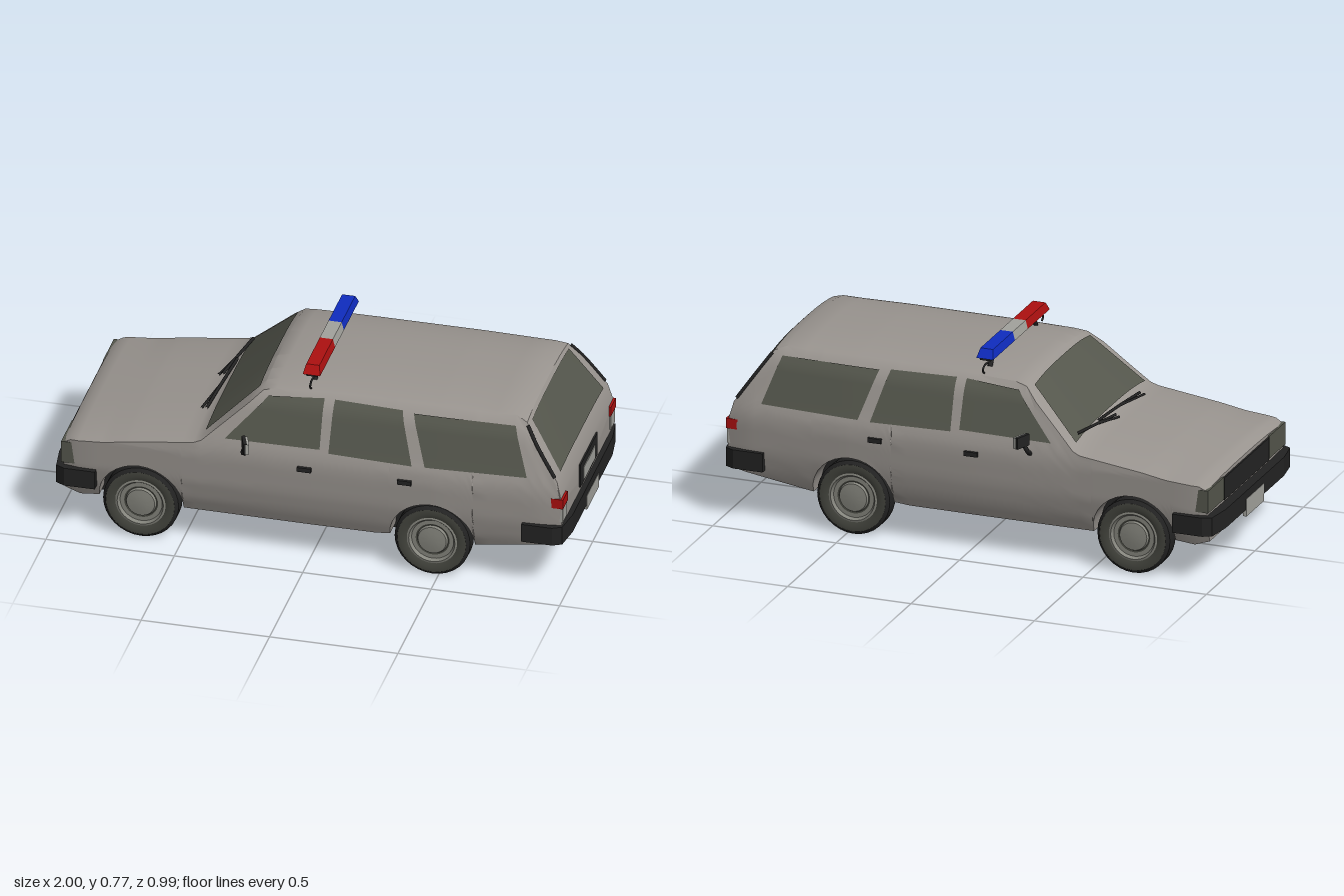
import * as THREE from 'three';
import { toCreasedNormals } from 'three/addons/utils/BufferGeometryUtils.js';

const paint = (name, color, side = THREE.FrontSide) => {
  const m = new THREE.MeshStandardMaterial({ color, side });
  m.name = name;
  return m;
};

// Piecewise linear lookup through [position, value] pairs
function lerpTable(table, t) {
  if (t <= table[0][0]) return table[0][1];
  for (let i = 1; i < table.length; i++) {
    const [a, va] = table[i - 1], [b, vb] = table[i];
    if (t <= b) return va + (vb - va) * (t - a) / (b - a);
  }
  return table[table.length - 1][1];
}

const AXLES = [-0.66, 0.475], ARCH = 0.165;
const WIDTH = [[0.13, 0.375], [0.2, 0.40], [0.28, 0.415], [0.4, 0.418], [0.45, 0.411],
  [0.48, 0.398], [0.62, 0.35], [0.655, 0.328], [0.68, 0.3], [0.7, 0.27]];
const TAPER = [[-0.96, 0.94], [-0.9, 0.965], [-0.5, 0.985], [0, 1], [0.5, 1], [0.9, 0.97], [0.98, 0.94]];
const TOP = [[-0.96, 0.385], [-0.93, 0.405], [-0.7, 0.445], [-0.45, 0.478], [-0.42, 0.49], [-0.2, 0.693],
  [-0.15, 0.703], [0.1, 0.71], [0.5, 0.711], [0.78, 0.706], [0.825, 0.687], [0.96, 0.478], [0.975, 0.42], [0.98, 0.4]];
const CROWN = [[-0.96, 0.015], [-0.8, 0.03], [0.7, 0.028], [0.85, 0.02], [0.98, 0.01]];
const BOTTOM = [[-0.96, 0.16], [-0.9, 0.14], [0.64, 0.145], [0.98, 0.2]];

const halfWidth = (x, y) => lerpTable(WIDTH, y) * lerpTable(TAPER, x);
const shoulder = x => lerpTable(TOP, x) - lerpTable(CROWN, x);
const topY = (x, z) => {
  const f = Math.min(1, Math.abs(z) / halfWidth(x, shoulder(x)));
  return shoulder(x) + lerpTable(CROWN, x) * (1 - f ** 3);
};
function bottomY(x) {
  let y = lerpTable(BOTTOM, x);
  for (const c of AXLES) {
    const d = ARCH * ARCH - (x - c) ** 2;
    if (d > 0) y = Math.max(y, 0.15 + Math.sqrt(d));
  }
  return y;
}

// Body shell lofted along x, with wheel arches in its lower edge
function bodyGeometry() {
  const xs = new Set(TOP.map(p => p[0]));
  for (const c of AXLES) for (let k = 0; k <= 16; k++) xs.add(+(c + ARCH * Math.cos(k * Math.PI / 16)).toFixed(4));
  for (const x of [-0.9, -0.36, -0.3, -0.25, 0, 0.25, 0.7, 0.87, 0.91]) xs.add(x);
  const stations = [...xs].sort((a, b) => a - b);
  const pos = [], idx = [], ROWS = 18;
  let n = 0;
  for (const x of stations) {
    const b = bottomY(x), s = shoulder(x), half = [[0, b], [0.3, b]];
    for (let r = 0; r <= ROWS; r++) {
      const y = b + (s - b) * r / ROWS;
      half.push([halfWidth(x, y), y]);
    }
    for (const f of [0.93, 0.82, 0.6, 0.3, 0]) {
      const z = f * halfWidth(x, s);
      half.push([z, topY(x, z)]);
    }
    const ring = [...half, ...half.slice(1, -1).reverse().map(([z, y]) => [-z, y])];
    n = ring.length;
    for (const [z, y] of ring) pos.push(x, y, z);
  }
  const last = stations.length - 1;
  for (let i = 0; i < last; i++) for (let j = 0; j < n; j++) {
    const a = i * n + j, b = i * n + (j + 1) % n, c = a + n, d = b + n;
    idx.push(a, c, b, b, c, d);
  }
  // End caps
  const mid = pos.length / 3;
  pos.push(stations[0], 0.28, 0, stations[last], 0.3, 0);
  for (let j = 0; j < n; j++) {
    const k = (j + 1) % n;
    idx.push(mid, j, k, mid + 1, last * n + k, last * n + j);
  }
  const g = new THREE.BufferGeometry();
  g.setAttribute('position', new THREE.Float32BufferAttribute(pos, 3));
  g.setIndex(idx);
  return toCreasedNormals(g, 0.55);
}

// Thin pane spanning four corners, laid on a surface by a rule
function pane(corners, place) {
  const g = new THREE.PlaneGeometry(1, 1, 10, 10), p = g.attributes.position;
  const [A, B, C, D] = corners;
  for (let i = 0; i < p.count; i++) {
    const u = p.getX(i) + 0.5, v = p.getY(i) + 0.5;
    const q = [0, 1].map(k => (A[k] * (1 - u) + B[k] * u) * (1 - v) + (D[k] * (1 - u) + C[k] * u) * v);
    p.setXYZ(i, ...place(q[0], q[1]));
  }
  g.computeVertexNormals();
  return g;
}

export function createModel() {
  const car = new THREE.Group();
  car.name = 'patrolWagon';
  const body = paint('bodyGrey', 0x9a9590), glass = paint('glass', 0x55574d, THREE.DoubleSide);
  const black = paint('blackTrim', 0x232323), rubber = paint('tyreSidewall', 0x45463f);
  const metal = paint('wheelMetal', 0x85857d), pale = paint('paleGrey', 0xa3a39d);
  const red = paint('red', 0xae1010), blue = paint('blue', 0x0f2cc0);

  const add = (name, geo, mat, parent = car) => {
    const m = new THREE.Mesh(geo, mat);
    m.name = name;
    parent.add(m);
    return m;
  };
  const box = (name, mat, x0, x1, y0, y1, z0, z1) => {
    const m = add(name, new THREE.BoxGeometry(x1 - x0, y1 - y0, z1 - z0), mat);
    m.position.set((x0 + x1) / 2, (y0 + y1) / 2, (z0 + z1) / 2);
    return m;
  };
  const tube = (name, pts, r, mat = black) => {
    const path = new THREE.CatmullRomCurve3(pts.map(p => new THREE.Vector3(...p)));
    return add(name, new THREE.TubeGeometry(path, 12, r, 6), mat);
  };

  add('body', bodyGeometry(), body);
  box('underbody', black, -0.86, 0.66, 0.13, 0.34, -0.3, 0.3);

  // Windows
  const onTop = (x, z) => [x, topY(x, z) + 0.006, z];
  add('windscreen', pane([[-0.415, 0.355], [-0.415, -0.355], [-0.22, -0.285], [-0.22, 0.285]], onTop), glass);
  add('rearWindow', pane([[0.958, -0.325], [0.958, 0.325], [0.836, 0.275], [0.836, -0.275]], onTop), glass);
  const sideWindows = {
    frontDoorWindow: [[-0.33, 0.48], [0.04, 0.485], [0.04, 0.665], [-0.175, 0.652]],
    rearDoorWindow: [[0.075, 0.475], [0.4, 0.468], [0.345, 0.66], [0.08, 0.665]],
    cargoWindow: [[0.45, 0.47], [0.845, 0.475], [0.785, 0.655], [0.39, 0.655]],
  };

  for (const s of [1, -1]) {
    for (const [name, c] of Object.entries(sideWindows))
      add(name, pane(c, (x, y) => [x, y, s * (halfWidth(x, y) + 0.005)]), glass);
    for (const x of [-0.015, 0.375]) {
      const h = box('doorHandle', black, x - 0.027, x + 0.027, 0.393, 0.411, -0.008, 0.008);
      h.position.z = s * 0.42;
    }
    // Trim along the tailgate pillar
    tube('pillarTrim', [0.83, 0.87, 0.91, 0.95].map(x => [x, shoulder(x), s * halfWidth(x, shoulder(x))]), 0.007);

    // Door mirror
    tube('mirrorArm', [[-0.25, 0.43, s * 0.405], [-0.25, 0.45, s * 0.435], [-0.24, 0.48, s * 0.448]], 0.009);
    for (const [name, mat, dx, size] of [['mirrorHousing', black, 0, 1], ['mirrorGlass', pale, 0.009, 0.94]]) {
      const m = add(name, new THREE.BoxGeometry(0.014, 0.045 * size, 0.068 * size), mat);
      m.position.set(-0.238 + dx, 0.497, s * 0.46);
      m.rotation.y = s * 0.35;
    }

    // Lamps
    const lamp = (name, mat, x0, x1, y0, y1, za, zb) =>
      box(name, mat, x0, x1, y0, y1, Math.min(s * za, s * zb), Math.max(s * za, s * zb));
    lamp('headlight', glass, -0.967, -0.9, 0.285, 0.375, 0.235, 0.398);
    lamp('tailLight', red, 0.94, 0.987, 0.36, 0.4, 0.325, 0.398);
    lamp('reverseLight', pale, 0.955, 0.985, 0.3, 0.36, 0.33, 0.392);

    // Light bar feet and roof clips
    tube('lightBarFoot', [[-0.02, 0.737, s * 0.207], [-0.02, 0.69, s * 0.237]], 0.01);
    tube('roofClip', [[-0.02, 0.714, s * 0.255], [-0.02, 0.714, s * 0.295], [-0.02, 0.7, s * 0.311],
      [-0.02, 0.685, s * 0.295]], 0.004);
  }

  // Grille, tailgate recess and plates
  box('grille', black, -0.967, -0.94, 0.28, 0.37, -0.23, 0.23);
  box('tailgateRecess', black, 0.97, 0.986, 0.305, 0.402, -0.128, 0.128);
  box('rearPanel', pale, 0.98, 0.989, 0.315, 0.37, -0.085, 0.085);
  box('rearPlate', pale, 0.985, 1.0, 0.19, 0.25, -0.09, 0.09).position.x = 0.994;
  box('frontPlate', pale, -1.0, -0.985, 0.17, 0.24, -0.09, 0.09).position.x = -0.994;

  // Wrap-around bumpers
  const half = [[0.83, 0.42], [0.95, 0.42], [0.985, 0.402], [1, 0.3]];
  const inner = [[0.962, 0.3], [0.94, 0.38], [0.83, 0.38]];
  const mirror = a => a.map(([x, z]) => [x, -z]).reverse();
  const plan = [...half, ...mirror(half), ...mirror(inner), ...inner].map(p => new THREE.Vector2(...p));
  for (const [name, turn, top] of [['rearBumper', 0, 0.285], ['frontBumper', Math.PI, 0.272]]) {
    const g = new THREE.ExtrudeGeometry(new THREE.Shape(plan), { depth: 0.075, bevelEnabled: false });
    g.rotateX(Math.PI / 2).rotateY(turn).translate(0, top, 0);
    add(name, g, black);
  }

  // Wipers
  for (const [a, b] of [[[-0.405, -0.32], [-0.455, -0.05]], [[-0.425, -0.16], [-0.45, 0.21]]]) {
    const pts = [0, 0.5, 1].map(t => {
      const x = a[0] + (b[0] - a[0]) * t, z = a[1] + (b[1] - a[1]) * t;
      return [x, topY(x, z) + 0.014, z];
    });
    tube('wiperBlade', pts, 0.006);
    tube('wiperArm', [pts[1], [-0.47, 0.485, pts[2][2]]], 0.005);
  }

  // Roof light bar with sloped ends
  const bar = (name, mat, z0, z1, slope) => {
    const g = new THREE.BoxGeometry(0.068, 0.034, z1 - z0), p = g.attributes.position;
    for (let i = 0; i < p.count; i++) if (p.getY(i) > 0) {
      p.setX(i, p.getX(i) * 0.75);
      if (p.getZ(i) * slope > 0) p.setZ(i, p.getZ(i) - slope * 0.022);
    }
    g.computeVertexNormals();
    add(name, g, mat).position.set(-0.02, 0.757, (z0 + z1) / 2);
  };
  bar('redBeacon', red, 0.066, 0.292, 1);
  bar('clearBeacon', pale, -0.066, 0.066, 0);
  bar('blueBeacon', blue, -0.292, -0.066, -1);
  box('lightBarBase', black, -0.042, 0.002, 0.731, 0.741, -0.285, 0.285);

  // Wheels
  const lathe = pts => toCreasedNormals(
    new THREE.LatheGeometry(pts.map(p => new THREE.Vector2(...p)), 32), 0.5);
  const tread = lathe([[0.134, -0.04], [0.147, -0.029], [0.147, 0.029], [0.134, 0.04]]);
  const wall = lathe([[0.134, 0.04], [0.115, 0.042], [0.098, 0.036]]);
  const rim = lathe([[0.098, 0.036], [0.09, 0.038], [0.082, 0.026], [0.066, 0.026]]);
  const groove = lathe([[0.067, 0.026], [0.058, 0.024]]);
  const cap = lathe([[0.06, 0.024], [0.055, 0.034], [0.03, 0.037], [0, 0.038]]);
  for (const x of AXLES) for (const s of [1, -1]) {
    const wheel = new THREE.Group();
    wheel.name = x < 0 ? 'frontWheel' : 'rearWheel';
    add('tyreTread', tread, black, wheel);
    for (const turn of [0, Math.PI])
      for (const [name, g, mat] of [['tyreWall', wall, rubber], ['rim', rim, metal], ['rimGroove', groove, rubber], ['hubCap', cap, metal]])
        add(name, g, mat, wheel).rotation.x = turn;
    wheel.rotation.x = s * Math.PI / 2;
    wheel.position.set(x, 0.147, s * 0.355);
    car.add(wheel);
  }
  return car;
}
